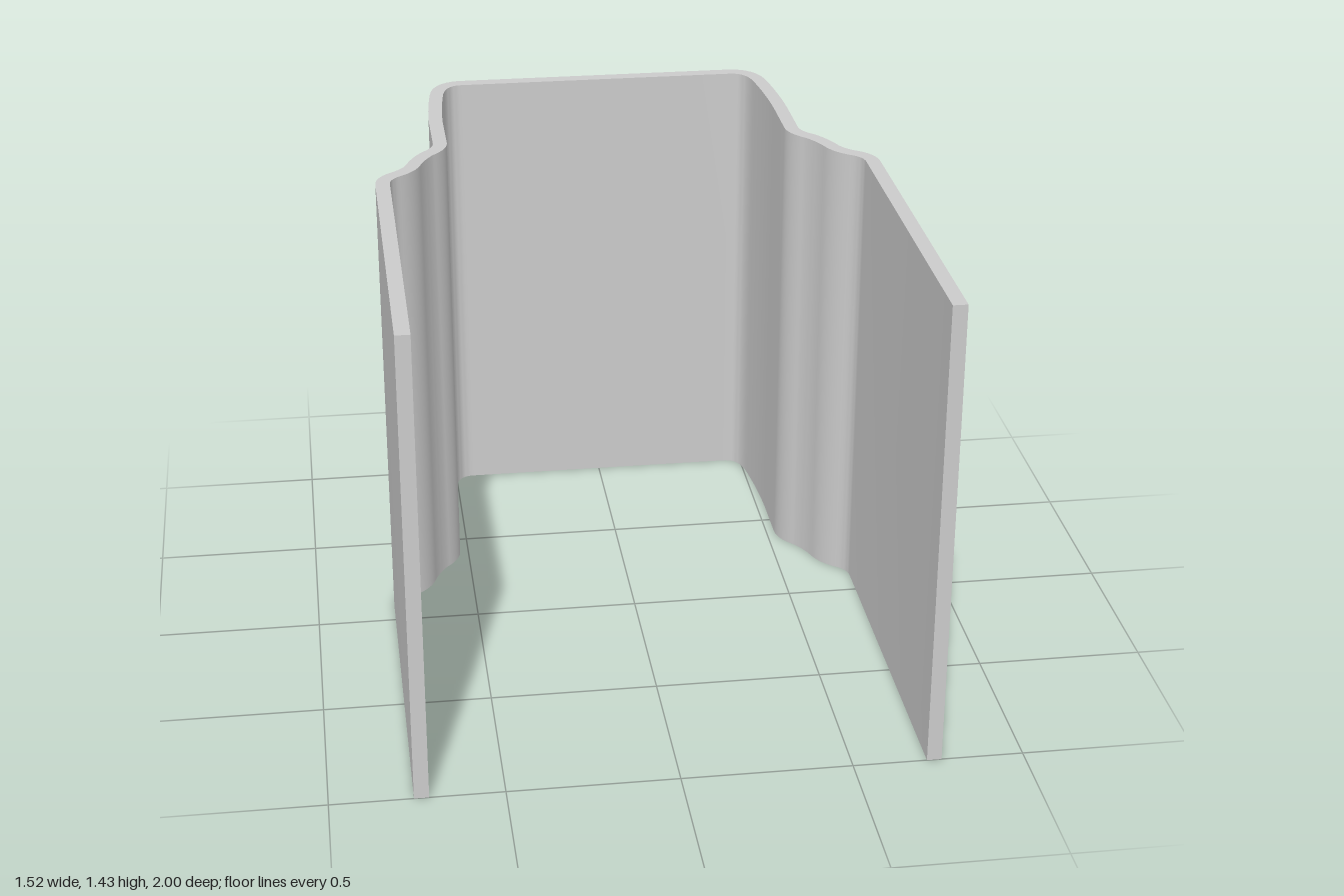
import * as THREE from 'three';
import { toCreasedNormals } from 'three/addons/utils/BufferGeometryUtils.js';

const HEIGHT = 1.43;
const HALF_WALL = 0.0215;

export function createModel() {
  const v = (x, z) => new THREE.Vector2(x, -z); // plan coordinates; shape y is -z
  const line = (a, b) => new THREE.LineCurve(v(...a), v(...b));
  const bend = (a, c, b) => new THREE.QuadraticBezierCurve(v(...a), v(...c), v(...b));

  // Centre line of the left half of the wall, from front edge to middle of the back
  const half = [
    line([0.7385, 1], [0.7385, -0.09]),
    bend([0.7385, -0.09], [0.7385, -0.14], [0.695, -0.17]),
    bend([0.695, -0.17], [0.655, -0.198], [0.64, -0.24]),
    bend([0.64, -0.24], [0.622, -0.295], [0.59, -0.335]),
    bend([0.59, -0.335], [0.548, -0.375], [0.548, -0.42]),
    line([0.548, -0.42], [0.548, -0.6]),
    bend([0.548, -0.6], [0.546, -0.74], [0.528, -0.88]),
    bend([0.528, -0.88], [0.513, -0.9785], [0.44, -0.9785]),
    line([0.44, -0.9785], [0, -0.9785]),
  ];

  // Offset the centre line to both sides to give the wall its thickness
  const outer = [], inner = [];
  half.forEach((curve, i) => {
    const n = curve.isLineCurve ? 1 : 10;
    for (let k = i ? 1 : 0; k <= n; k++) {
      const p = curve.getPoint(k / n), t = curve.getTangent(k / n);
      const side = new THREE.Vector2(t.y, -t.x).multiplyScalar(HALF_WALL);
      outer.push(p.clone().add(side));
      inner.push(p.clone().sub(side));
    }
  });

  // Mirror each side across x = 0 and close the outline
  const mirrored = (pts) => pts.slice(0, -1).reverse().map((p) => new THREE.Vector2(-p.x, p.y));
  const outline = [...outer, ...mirrored(outer), ...[...inner, ...mirrored(inner)].reverse()];

  const extruded = new THREE.ExtrudeGeometry(new THREE.Shape(outline), {
    depth: HEIGHT, bevelEnabled: false, steps: 1,
  });
  extruded.rotateX(-Math.PI / 2);

  const wall = new THREE.Mesh(
    toCreasedNormals(extruded, 0.6),
    new THREE.MeshStandardMaterial({ color: 0xcccccc }),
  );
  wall.name = 'steppedChannelWall';

  const group = new THREE.Group();
  group.name = 'channelBracket';
  group.add(wall);
  return group;
}
